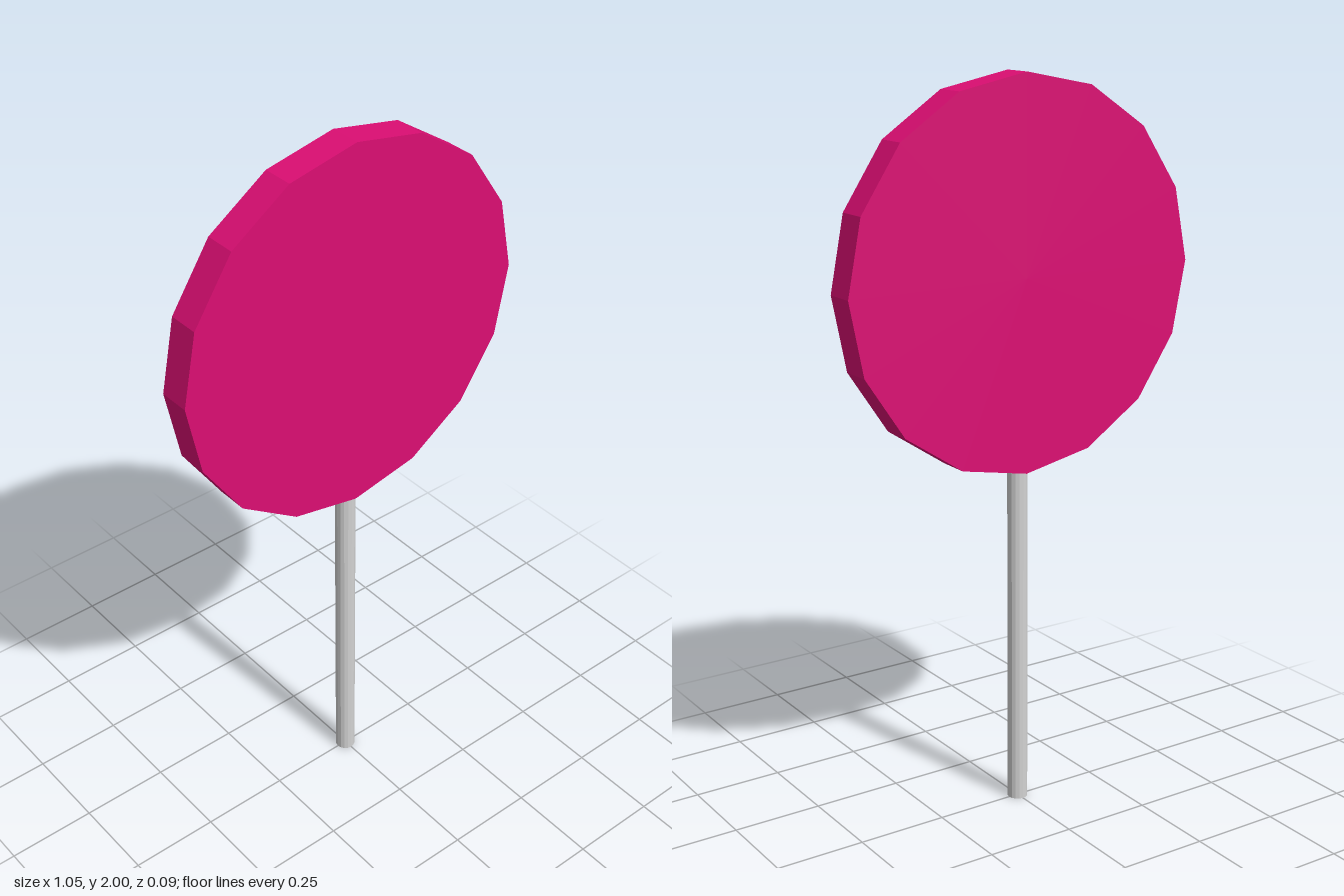
import * as THREE from 'three';

const candyPink = new THREE.MeshStandardMaterial({ name: 'candyPink', color: 0xdc0e73, flatShading: true });
const stickGrey = new THREE.MeshStandardMaterial({ name: 'stickGrey', color: 0xd2d2d2, flatShading: true });

export function createModel() {
  const model = new THREE.Group();
  model.name = 'lollipop';

  // sixteen-sided candy disc, standing upright with its flat faces to front and back
  const radius = 0.523;
  const candy = new THREE.Mesh(new THREE.CylinderGeometry(radius, radius, 0.088, 16), candyPink);
  candy.name = 'candyDisc';
  candy.rotation.x = Math.PI / 2;
  candy.position.y = 2 - radius;
  model.add(candy);

  // thin stick, its top end sunk a little into the candy
  const length = 1;
  const stick = new THREE.Mesh(new THREE.CylinderGeometry(0.028, 0.028, length, 16), stickGrey);
  stick.name = 'stick';
  stick.position.y = length / 2;
  model.add(stick);

  return model;
}
